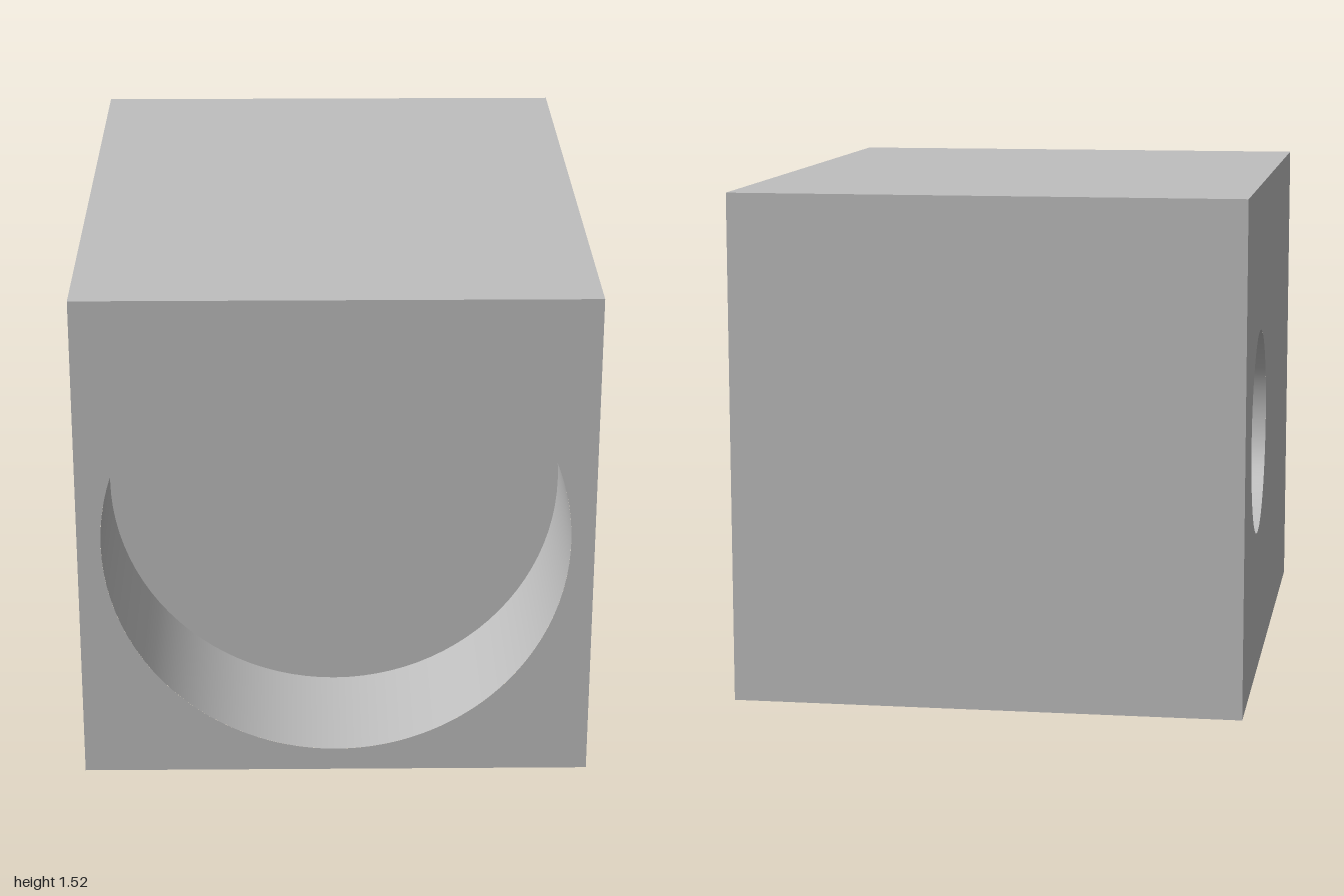
import * as THREE from 'three';

const WIDTH = 1.52, HEIGHT = 1.52, LENGTH = 2;
const RECESS_R = 0.69, RECESS_DEPTH = 0.45;
const BORE_R = 0.3125, BORE_Z = -0.445;
const SEGMENTS = 96;

// Flat rectangle facing +z, optionally pierced by a round hole
function panel(w, h, holeR = 0, holeX = 0) {
  const shape = new THREE.Shape([
    new THREE.Vector2(-w / 2, -h / 2), new THREE.Vector2(w / 2, -h / 2),
    new THREE.Vector2(w / 2, h / 2), new THREE.Vector2(-w / 2, h / 2),
  ]);
  if (holeR) shape.holes.push(new THREE.Path().absarc(holeX, 0, holeR, 0, Math.PI * 2, true));
  return new THREE.ShapeGeometry(shape, SEGMENTS);
}

// Inward-facing round wall along y (profile runs downward)
function boreWall(r, length) {
  return new THREE.LatheGeometry(
    [new THREE.Vector2(r, length / 2), new THREE.Vector2(r, -length / 2)], SEGMENTS);
}

export function createModel() {
  const group = new THREE.Group();
  group.name = 'boredBlock';
  const grey = new THREE.MeshStandardMaterial({ color: 0xbebebe });
  grey.name = 'grey';

  const add = (name, geometry, x, y, z) => {
    const mesh = new THREE.Mesh(geometry, grey);
    mesh.name = name;
    mesh.position.set(x, y, z);
    group.add(mesh);
  };
  const midY = HEIGHT / 2, q = Math.PI / 2;

  // Outer faces of the block
  add('frontFace', panel(WIDTH, HEIGHT, RECESS_R), 0, midY, LENGTH / 2);
  add('backFace', panel(WIDTH, HEIGHT).rotateY(Math.PI), 0, midY, -LENGTH / 2);
  add('topFace', panel(WIDTH, LENGTH).rotateX(-q), 0, HEIGHT, 0);
  add('bottomFace', panel(WIDTH, LENGTH).rotateX(q), 0, 0, 0);
  for (const [name, s] of [['leftFace', 1], ['rightFace', -1]]) {
    add(name, panel(LENGTH, HEIGHT, BORE_R, -s * BORE_Z).rotateY(s * q), s * WIDTH / 2, midY, 0);
  }

  // Wide blind recess in the front
  add('recessWall', boreWall(RECESS_R, RECESS_DEPTH).rotateX(q), 0, midY, (LENGTH - RECESS_DEPTH) / 2);
  add('recessFloor', new THREE.CircleGeometry(RECESS_R, SEGMENTS), 0, midY, LENGTH / 2 - RECESS_DEPTH);

  // Cross bore running right through from side to side
  add('crossBore', boreWall(BORE_R, WIDTH).rotateZ(q), 0, midY, BORE_Z);

  return group;
}
